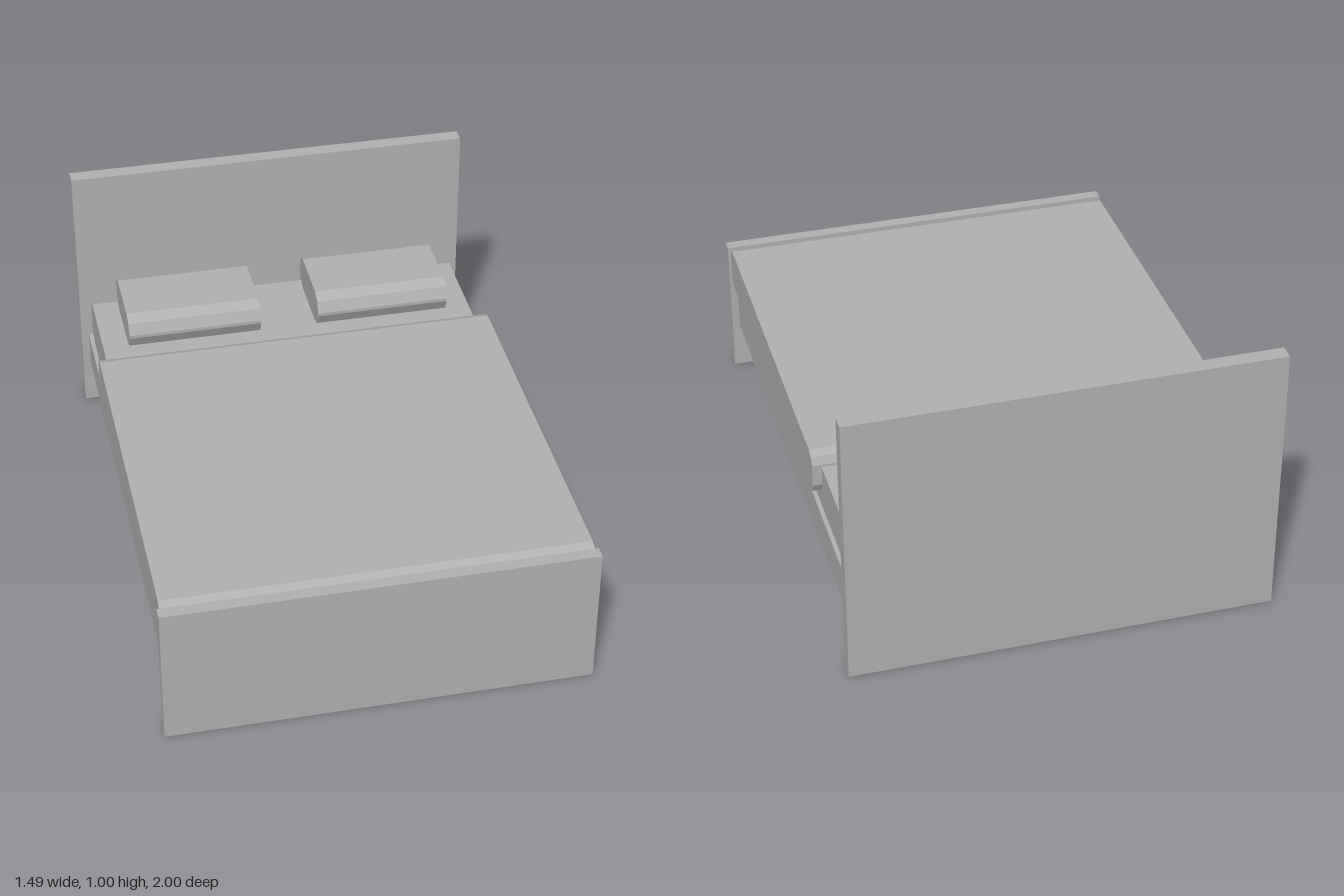
import * as THREE from 'three';

const grey = new THREE.MeshStandardMaterial({ color: 0xb2b2b2 });
grey.name = 'grey';

// Board between two opposite corners, symmetric in x
function board(name, halfX, y0, y1, z0, z1) {
  const mesh = new THREE.Mesh(new THREE.BoxGeometry(halfX * 2, y1 - y0, z1 - z0), grey);
  mesh.position.set(0, (y0 + y1) / 2, (z0 + z1) / 2);
  mesh.name = name;
  return mesh;
}

// Cushion: faceted rounded side profile (z, y) extruded across x
function cushion(name, x0, x1, y0, y1, z0, z1, r) {
  const steps = 2;
  const points = [];
  const corners = [[z1 - r, y1 - r], [z0 + r, y1 - r], [z0 + r, y0 + r], [z1 - r, y0 + r]];
  corners.forEach(([cz, cy], i) => {
    for (let k = 0; k <= steps; k++) {
      const a = (i + k / steps) * Math.PI / 2;
      points.push(new THREE.Vector2(cz + r * Math.cos(a), cy + r * Math.sin(a)));
    }
  });
  const geometry = new THREE.ExtrudeGeometry(new THREE.Shape(points), { depth: x1 - x0, bevelEnabled: false });
  geometry.rotateY(-Math.PI / 2);
  geometry.translate(x1, 0, 0);
  const mesh = new THREE.Mesh(geometry, grey);
  mesh.name = name;
  return mesh;
}

export function createModel() {
  const bed = new THREE.Group();
  bed.name = 'bed';

  // Wooden structure
  bed.add(board('headboard', 0.743, 0, 1, -1, -0.945));
  bed.add(board('footboard', 0.743, 0, 0.526, 0.956, 1));
  bed.add(board('bedBase', 0.715, 0.175, 0.306, -0.945, 0.956));

  // Bedding
  bed.add(cushion('mattress', -0.7, 0.7, 0.306, 0.48, -0.936, 0.95, 0.05));
  bed.add(cushion('duvet', -0.733, 0.733, 0.368, 0.529, -0.475, 0.96, 0.04));
  bed.add(cushion('leftPillow', 0.107, 0.602, 0.48, 0.612, -0.89, -0.545, 0.06));
  bed.add(cushion('rightPillow', -0.605, -0.11, 0.48, 0.612, -0.89, -0.545, 0.06));

  return bed;
}
